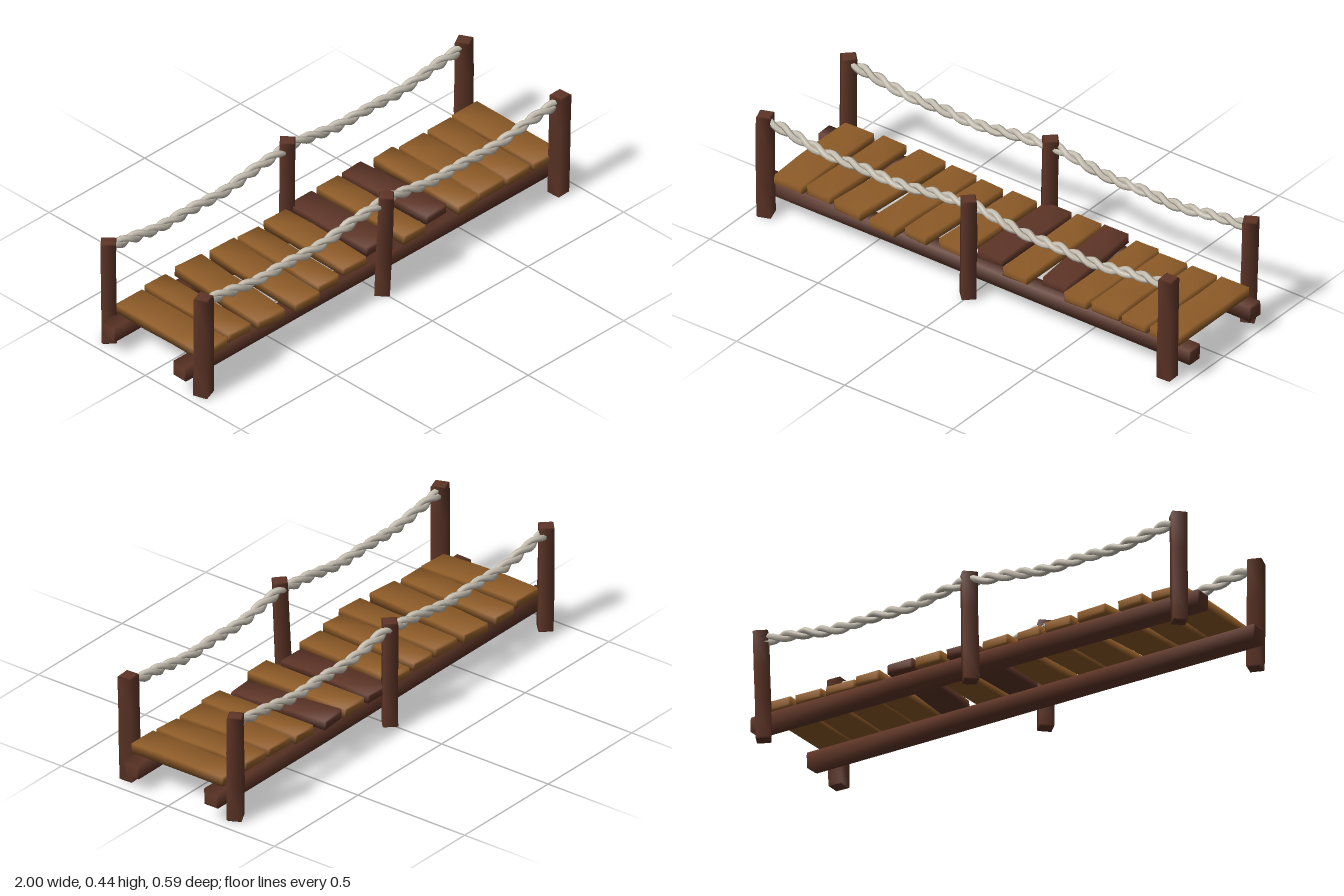
import * as THREE from 'three';
import { mergeVertices } from 'three/addons/utils/BufferGeometryUtils.js';

// small seeded generator for hand-hewn irregularity, returns -1..1
let seed = 7;
const rnd = () => {
  seed = (seed * 16807) % 2147483647;
  return (seed / 2147483647) * 2 - 1;
};

const mat = (name, color) => {
  const m = new THREE.MeshStandardMaterial({ color });
  m.name = name;
  return m;
};

// soft-edged timber along local z, centred on the origin
function timber(w, h, len, bevel, jitter) {
  const a = w / 2 - bevel, b = h / 2 - bevel;
  const shape = new THREE.Shape([[-a, -b], [a, -b], [a, b], [-a, b]].map(p => new THREE.Vector2(...p)));
  let g = new THREE.ExtrudeGeometry(shape, {
    depth: len - 2 * bevel, steps: 3, bevelEnabled: true,
    bevelSize: bevel, bevelThickness: bevel, bevelSegments: 1,
  });
  g.translate(0, 0, -len / 2 + bevel);
  g.deleteAttribute('normal');
  g.deleteAttribute('uv');
  g.clearGroups();
  g = mergeVertices(g, 1e-4);
  const p = g.attributes.position;
  for (let i = 0; i < p.count; i++) {
    p.setX(i, p.getX(i) + rnd() * jitter);
    p.setY(i, p.getY(i) + rnd() * jitter);
  }
  g.computeVertexNormals();
  return g;
}

// two strands twisted around a sagging line between two points
class Strand extends THREE.Curve {
  constructor(from, to, sag, phase) {
    super();
    Object.assign(this, { from, to, sag, phase });
  }
  getPoint(t, target = new THREE.Vector3()) {
    const a = this.phase + t * Math.PI * 2 * 6;
    target.lerpVectors(this.from, this.to, t);
    target.y += -this.sag * 4 * t * (1 - t) + Math.cos(a) * 0.011 + 0.004 * Math.sin(t * 17);
    target.z += Math.sin(a) * 0.011;
    return target;
  }
}

export function createModel() {
  const root = new THREE.Group();
  root.name = 'footbridge';
  const darkWood = mat('dark wood', 0x5e3527);
  const plankWood = mat('plank wood', 0x8f5c28);
  const ropeFibre = mat('rope fibre', 0xc9c2b4);

  const add = (name, geometry, material) => {
    const mesh = new THREE.Mesh(geometry, material);
    mesh.name = name;
    root.add(mesh);
    return mesh;
  };

  // long beams under the deck
  for (const [name, z, tilt] of [['frontBeam', 0.174, 0.004], ['backBeam', -0.195, 0.002]]) {
    const beam = add(name, timber(0.064, 0.062, 2, 0.007, 0.002), darkWood);
    beam.position.set(0, 0.098, z);
    beam.rotation.set(0, Math.PI / 2 + (z < 0 ? 0.003 : 0), 0);
    beam.rotateX(tilt);
  }

  // deck planks: x, width, back z, front z, yaw, dark
  const planks = [
    [-0.855, 0.135, -0.235, 0.22, 0],
    [-0.71, 0.11, -0.25, 0.215, -0.025],
    [-0.55, 0.13, -0.25, 0.235, -0.08],
    [-0.385, 0.12, -0.235, 0.25, -0.05],
    [-0.25, 0.105, -0.23, 0.225, -0.045],
    [-0.10, 0.115, -0.235, 0.21, -0.035],
    [0.05, 0.12, -0.25, 0.175, -0.01, true],
    [0.195, 0.112, -0.25, 0.22, 0],
    [0.335, 0.108, -0.25, 0.18, 0.065, true],
    [0.475, 0.103, -0.235, 0.22, 0],
    [0.605, 0.127, -0.22, 0.21, 0],
    [0.745, 0.115, -0.22, 0.215, -0.02],
    [0.885, 0.128, -0.225, 0.22, -0.015],
  ];
  planks.forEach(([x, w, z0, z1, yaw, dark], i) => {
    const plank = add('plank' + (i + 1), timber(w, 0.037, z1 - z0, 0.007, 0.0025), dark ? darkWood : plankWood);
    plank.position.set(x, 0.152, (z0 + z1) / 2);
    plank.rotation.set(rnd() * 0.015, yaw, rnd() * 0.03, 'YXZ');
  });

  // posts: bottom x, bottom z, top x, top z, spin
  const H = 0.44;
  const posts = {
    frontRightPost: [-0.935, 0.24, -0.938, 0.243, 0.35],
    frontMiddlePost: [-0.002, 0.24, 0.01, 0.252, 0.75],
    frontLeftPost: [0.92, 0.24, 0.927, 0.243, 0.05],
    backRightPost: [-0.932, -0.255, -0.93, -0.262, 0.78],
    backMiddlePost: [-0.002, -0.255, 0.004, -0.26, 0.75],
    backLeftPost: [0.92, -0.255, 0.928, -0.26, 0.5],
  };
  for (const [name, [bx, bz, tx, tz, spin]] of Object.entries(posts)) {
    const g = timber(0.057, 0.057, H, 0.005, 0.0015);
    g.rotateX(-Math.PI / 2);
    g.rotateY(spin);
    const post = add(name, g, darkWood);
    post.position.set((bx + tx) / 2, H / 2 + 0.002, (bz + tz) / 2);
    post.quaternion.setFromUnitVectors(
      new THREE.Vector3(0, 1, 0), new THREE.Vector3(tx - bx, H, tz - bz).normalize());
  }

  // rope handrails, two spans on each side
  for (const [side, z] of [['front', 0.238], ['back', -0.262]]) {
    [[-0.925, 0], [0, 0.92]].forEach(([x0, x1], span) => {
      const rope = new THREE.Group();
      rope.name = side + 'Rope' + (span + 1);
      for (const phase of [0, Math.PI]) {
        const curve = new Strand(
          new THREE.Vector3(x0, 0.412, z), new THREE.Vector3(x1, 0.412, z), 0.042, phase + span);
        const strand = new THREE.Mesh(new THREE.TubeGeometry(curve, 56, 0.0125, 6), ropeFibre);
        strand.name = 'strand';
        rope.add(strand);
      }
      root.add(rope);
    });
  }
  return root;
}
